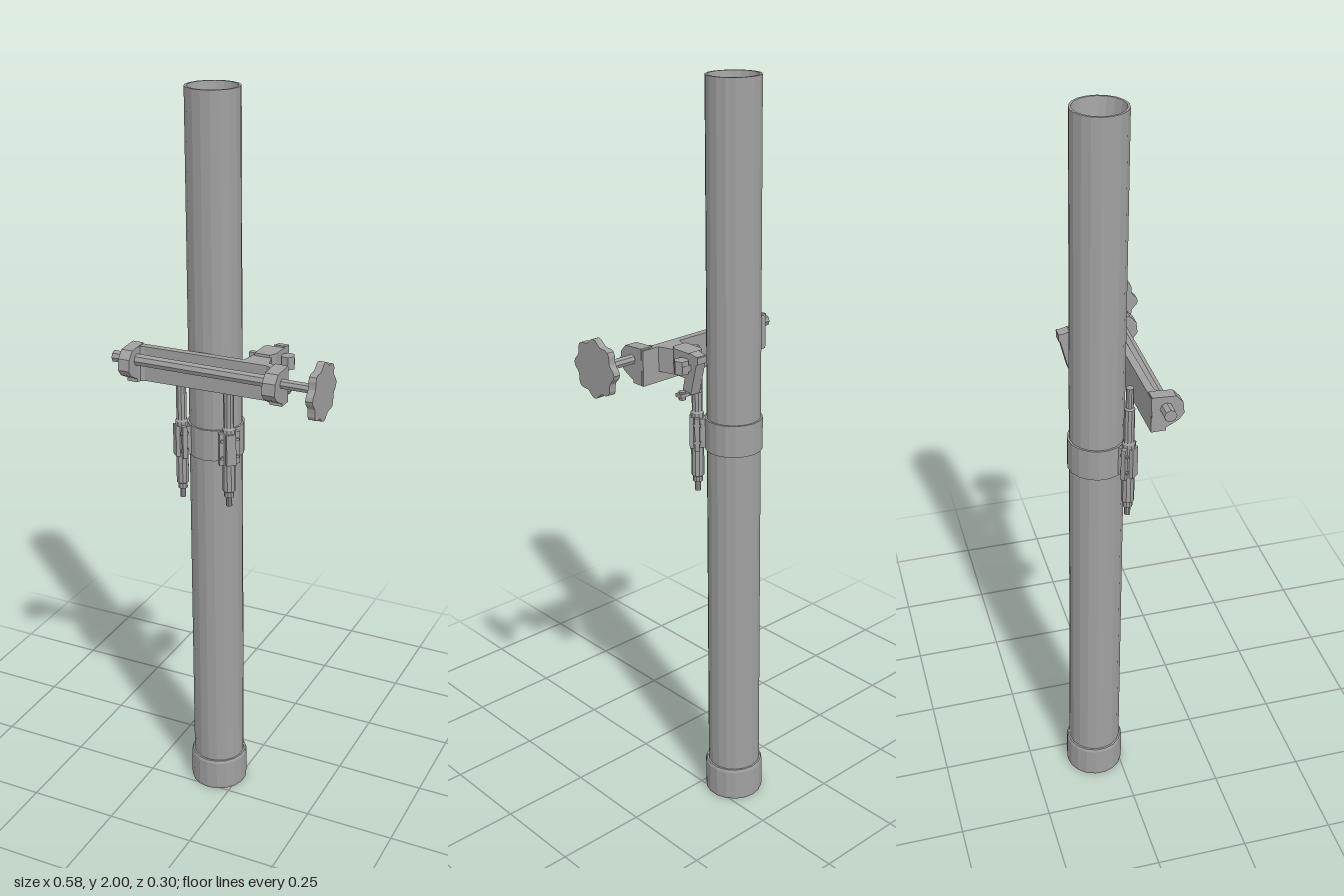
import * as THREE from 'three';

export function createModel() {
  const root = new THREE.Group();
  const steel = new THREE.MeshStandardMaterial({ color: 0xa0a0a0, flatShading: true });
  steel.name = 'steel grey';

  const add = (parent, name, geometry, x = 0, y = 0, z = 0) => {
    const mesh = new THREE.Mesh(geometry, steel);
    mesh.name = name;
    mesh.position.set(x, y, z);
    parent.add(mesh);
    return mesh;
  };
  const group = (parent, name, x = 0, y = 0, z = 0) => {
    const g = new THREE.Group();
    g.name = name;
    g.position.set(x, y, z);
    parent.add(g);
    return g;
  };
  const box = (w, h, d) => new THREE.BoxGeometry(w, h, d);
  const lathe = (pts, sides) => new THREE.LatheGeometry(pts.map(p => new THREE.Vector2(...p)), sides);
  const shape = pts => new THREE.Shape(pts.map(p => new THREE.Vector2(...p)));
  // Side profile (z, y) extruded between two x values
  const sideways = (s, x0, x1) =>
    new THREE.ExtrudeGeometry(s, { depth: x1 - x0, bevelEnabled: false }).rotateY(-Math.PI / 2).translate(x1, 0, 0);
  // Plan outline (x, z) extruded between two heights
  const upward = (s, y0, y1) =>
    new THREE.ExtrudeGeometry(s, { depth: y1 - y0, bevelEnabled: false }).rotateX(Math.PI / 2).translate(0, y1, 0);
  const rodX = (r, x0, x1, sides = 8) =>
    new THREE.CylinderGeometry(r, r, x1 - x0, sides).rotateZ(Math.PI / 2).translate((x0 + x1) / 2, 0, 0);

  // Leaning tube with end cap, hollow mouth and clamp band
  const barrel = group(root, 'barrel', -0.062, 0, -0.069);
  barrel.rotation.x = 0.0133;
  add(barrel, 'tube', lathe([[0.072, 0.08], [0.069, 1.999], [0.063, 1.999], [0, 1.62]], 18));
  add(barrel, 'endCap', lathe([[0, 0.001], [0.079, 0.001], [0.08, 0.008], [0.08, 0.088], [0.077, 0.096], [0.068, 0.096]], 18));
  add(barrel, 'clampBand', lathe([[0.067, 1.052], [0.0755, 1.052], [0.0755, 1.138], [0.067, 1.138]], 18));

  // Spring rods on both sides of the tube front
  for (const side of [-1, 1]) {
    const rod = group(barrel, side > 0 ? 'leftSpringRod' : 'rightSpringRod', side * 0.068, 0, 0.065);
    rod.rotation.y = side * 0.79;
    add(rod, 'rod', lathe([
      [0, 0.93], [0.008, 0.93], [0.008, 0.955], [0.013, 0.957], [0.013, 0.972], [0.017, 0.975],
      [0.017, 1.15], [0.014, 1.155], [0.014, 1.25], [0.01, 1.255], [0.01, 1.31], [0, 1.31],
    ], 10));
    add(rod, 'clampPlate', box(0.056, 0.09, 0.012), 0, 1.096, 0);
    add(rod, 'clampSaddle', box(0.03, 0.08, 0.032), 0, 1.096, -0.012);
    add(rod, 'frontBlock', box(0.026, 0.086, 0.012), 0, 1.096, 0.014);
    for (const y of [1.072, 1.12])
      for (const x of [-0.021, 0.021])
        add(rod, 'clampBolt', new THREE.CylinderGeometry(0.005, 0.005, 0.02, 6).rotateX(Math.PI / 2), x, y, 0);
  }

  // Traverse yoke: back plate with filleted ends
  const yoke = group(root, 'traverseYoke');
  add(yoke, 'backPlate', upward(shape([
    [-0.257, 0.029], [0.175, 0.024], [0.175, 0.062], [0.142, 0.062], [0.136, 0.05], [0.122, 0.043],
    [-0.215, 0.048], [-0.225, 0.054], [-0.228, 0.066], [-0.257, 0.066],
  ]), 1.257, 1.35));
  const bracket = shape([
    [0.03, 1.258], [0.07, 1.268], [0.098, 1.283], [0.111, 1.3], [0.108, 1.33], [0.09, 1.35], [0.03, 1.354],
  ]);
  add(yoke, 'rightBracket', sideways(bracket, -0.258, -0.227));
  add(yoke, 'leftBracket', sideways(bracket, 0.141, 0.176));

  // Traverse screw and scalloped handwheel
  const screw = group(root, 'traverseScrew', 0, 1.319, 0.066);
  add(screw, 'screw', rodX(0.016, -0.293, 0.176));
  add(screw, 'shaft', rodX(0.013, 0.17, 0.28));
  const rim = [];
  for (let i = 0; i < 48; i++) {
    const a = i / 48 * Math.PI * 2, r = 0.071 + 0.006 * Math.cos(8 * a);
    rim.push([r * Math.cos(a), r * Math.sin(a)]);
  }
  add(screw, 'handwheel', sideways(shape(rim), 0.272, 0.291), 0, 0, 0.007);

  // Sight mount behind the left end of the yoke
  const sight = group(root, 'sightMount');
  add(sight, 'mountFoot', upward(shape([
    [0.054, 0.032], [0.062, -0.02], [0.11, -0.02], [0.126, 0.032],
  ]), 1.285, 1.35));
  add(sight, 'mountBlock', upward(shape([
    [0.066, -0.012], [0.066, -0.07], [0.072, -0.079], [0.118, -0.079], [0.118, -0.03], [0.108, -0.012],
  ]), 1.29, 1.357));
  add(sight, 'sideTab', box(0.042, 0.014, 0.014), 0.066, 1.345, -0.033);
  const arm = add(sight, 'sightArm', box(0.03, 0.105, 0.03), 0.103, 1.305, -0.085);
  arm.rotation.x = -0.24;
  add(sight, 'sightHead', box(0.03, 0.02, 0.035), 0.103, 1.345, -0.094);
  const knob = add(sight, 'sightKnob', new THREE.CylinderGeometry(0.019, 0.019, 0.034, 6), 0.133, 1.325, -0.07);
  knob.rotation.y = 0.4;
  add(sight, 'knobArm', box(0.04, 0.016, 0.02), 0.125, 1.322, -0.078);
  add(sight, 'lowerLever', box(0.07, 0.009, 0.02), 0.11, 1.252, -0.072);
  add(sight, 'leverPin', new THREE.CylinderGeometry(0.009, 0.009, 0.022, 8), 0.132, 1.25, -0.072);

  return root;
}
